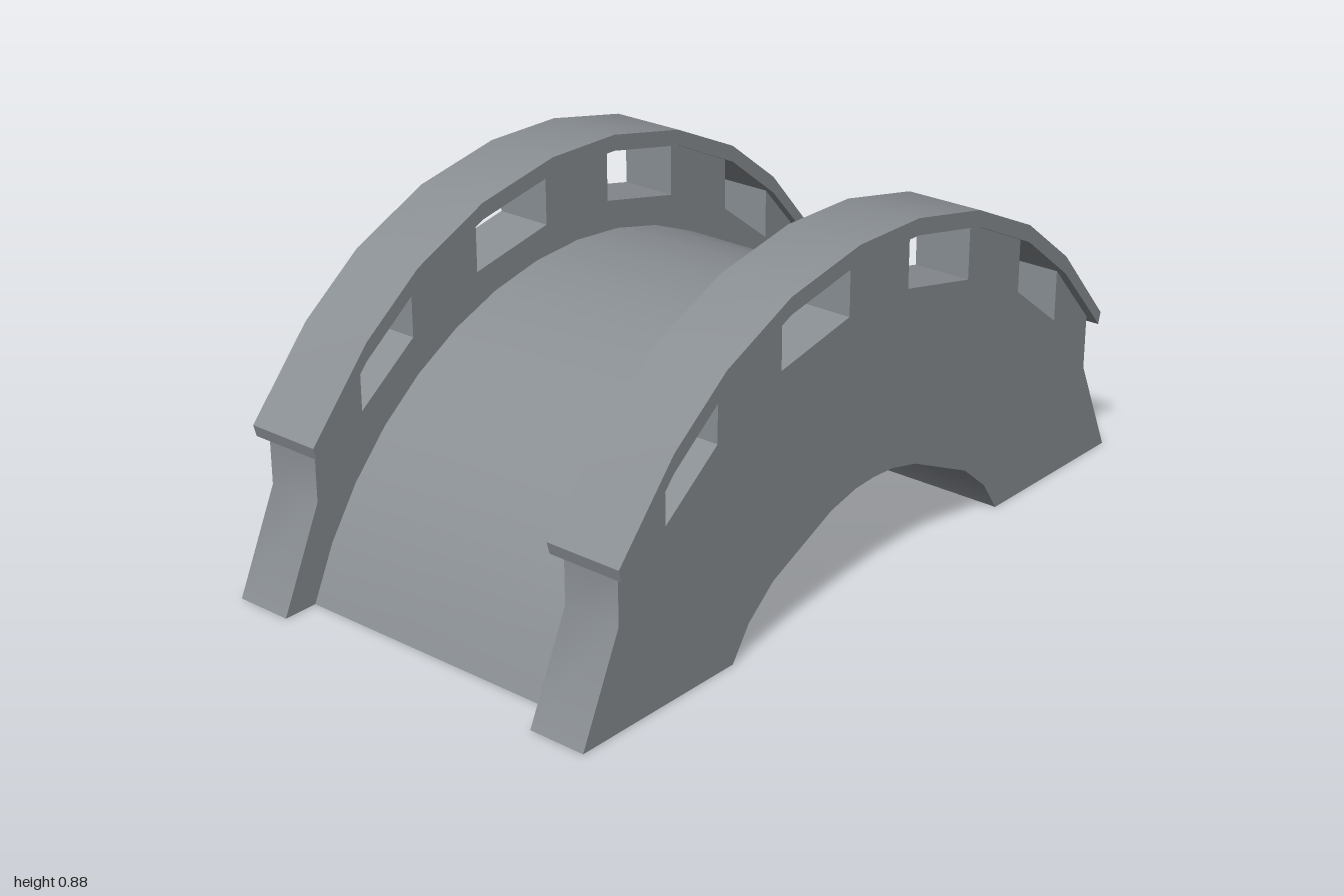
import * as THREE from 'three';
import { toCreasedNormals } from 'three/addons/utils/BufferGeometryUtils.js';

// Full outline from its right half, listed from the right foot up to the crown
const mirrored = (half) => [...half, ...half.slice().reverse().map(([x, y]) => [-x, y])];

// Extrude an outline between two depths, smoothing the gentle bends
function slab(name, points, z0, z1, material) {
  const shape = new THREE.Shape(points.map(([x, y]) => new THREE.Vector2(x, y)));
  const geometry = new THREE.ExtrudeGeometry(shape, { depth: z1 - z0, bevelEnabled: false });
  geometry.translate(0, 0, z0);
  const mesh = new THREE.Mesh(toCreasedNormals(geometry, 0.6), material);
  mesh.name = name;
  return mesh;
}

export function createModel() {
  const stone = new THREE.MeshStandardMaterial({ color: 0x8a8f94 });
  stone.name = 'grey stone';
  const bridge = new THREE.Group();
  bridge.name = 'archBridge';

  // Underside of the arch, from left foot to right foot
  const archHalf = [[0.51, 0], [0.455, 0.08], [0.37, 0.15], [0.26, 0.2], [0.16, 0.245], [0.07, 0.266]];
  const arch = [...archHalf.map(([x, y]) => [-x, y]), [0, 0.27], ...archHalf.slice().reverse()];

  // Humped deck between the walls: a circular arc over the arch
  const R = 0.972, drop = 0.342, end = Math.asin(0.91 / R), n = 16;
  const deck = [];
  for (let i = 0; i <= n; i++) {
    const a = end * (1 - (2 * i) / n);
    deck.push([R * Math.sin(a), Math.max(0, R * Math.cos(a) - drop)]);
  }
  bridge.add(slab('deck', [...deck, ...arch], -0.38, 0.38, stone));

  // Parapet wall with notches that become openings under the coping
  const wall = mirrored([
    [1, 0], [0.885, 0.25], [0.885, 0.39],
    [0.735, 0.556], [0.735, 0.425], [0.565, 0.553], [0.565, 0.687],
    [0.35, 0.787], [0.35, 0.65], [0.11, 0.7], [0.11, 0.835],
  ]);

  // Thin coping that follows the top of the wall
  const top = mirrored([[0.91, 0.4], [0.735, 0.6], [0.565, 0.73], [0.35, 0.828], [0.11, 0.876]]);
  const under = mirrored([
    [0.902, 0.37], [0.887, 0.388], [0.735, 0.556], [0.565, 0.687], [0.35, 0.787], [0.11, 0.835],
  ]).reverse();

  for (const [side, s] of [['front', 1], ['back', -1]]) {
    const span = (a, b) => (s > 0 ? [a, b] : [-b, -a]);
    bridge.add(slab(side + 'Wall', [...wall, ...arch], ...span(0.38, 0.53), stone));
    bridge.add(slab(side + 'Coping', [...top, ...under], ...span(0.355, 0.555), stone));
  }
  return bridge;
}
